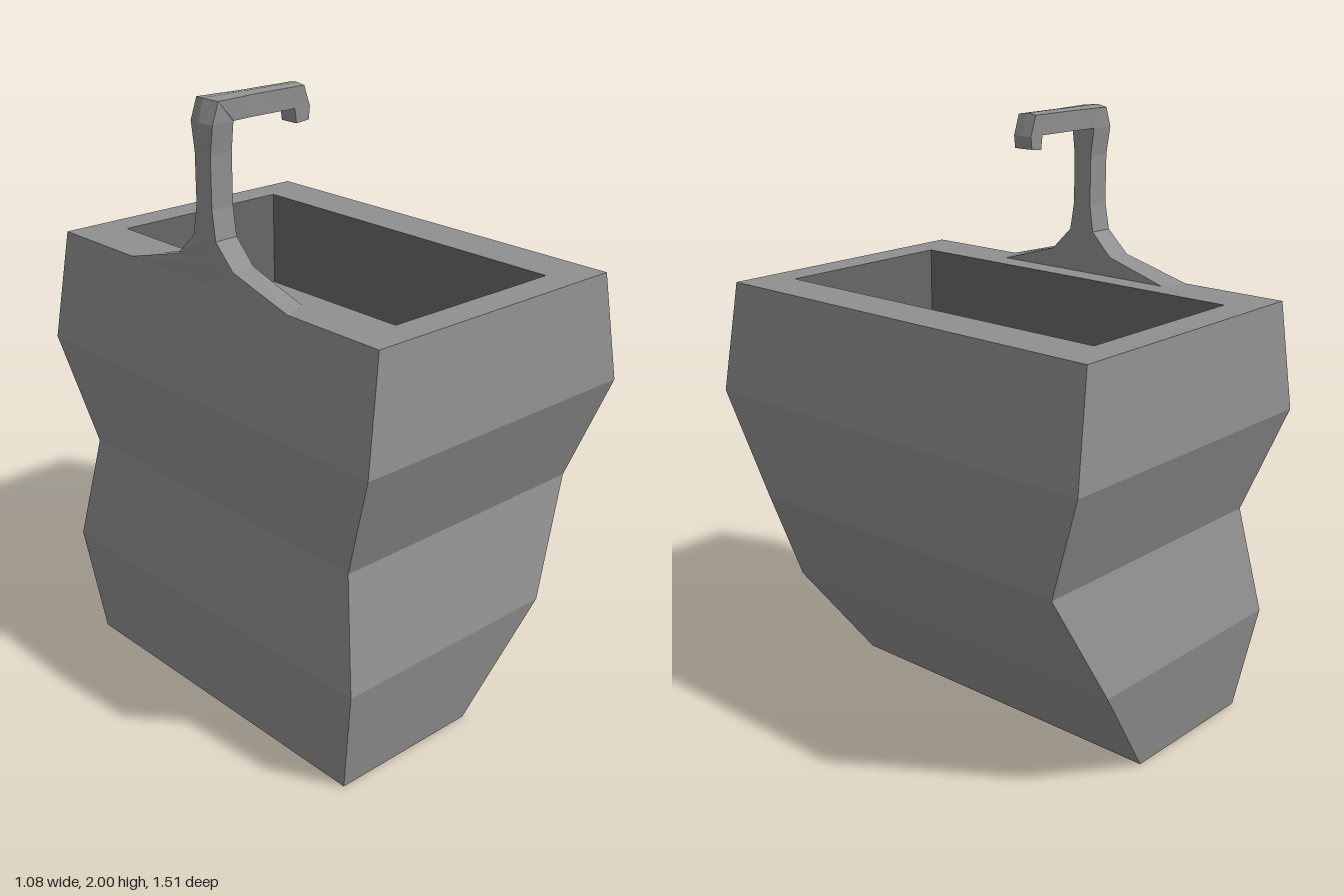
import * as THREE from 'three';

// Skins a list of rings (each counter-clockwise seen along the path), with optional end caps.
function loft(rings, capStart, capEnd) {
  const pos = [];
  const tri = (a, b, c) => pos.push(...a, ...b, ...c);
  const n = rings[0].length;
  for (let i = 0; i < rings.length - 1; i++) {
    const a = rings[i], b = rings[i + 1];
    for (let j = 0; j < n; j++) {
      const k = (j + 1) % n;
      tri(a[j], a[k], b[k]);
      tri(a[j], b[k], b[j]);
    }
  }
  const first = rings[0], last = rings[rings.length - 1];
  for (let j = 1; j < n - 1; j++) {
    if (capStart) tri(first[0], first[j + 1], first[j]);
    if (capEnd) tri(last[0], last[j], last[j + 1]);
  }
  const g = new THREE.BufferGeometry();
  g.setAttribute('position', new THREE.Float32BufferAttribute(pos, 3));
  g.computeVertexNormals();
  return g;
}

// Horizontal rectangle
const rect = (y, x0, x1, z) => [[x0, y, z], [x1, y, z], [x1, y, -z], [x0, y, -z]];

// Five-sided tap section: a ridge, two outer corners, two inner corners
const section = ([rx, ry, ox, oy, oz, ix, iy, iz]) =>
  [[rx, ry, 0], [ox, oy, oz], [ix, iy, iz], [ix, iy, -iz], [ox, oy, -oz]];

export function createModel() {
  const group = new THREE.Group();
  const stone = new THREE.MeshStandardMaterial({ color: 0x909090, flatShading: true });
  stone.name = 'grey stone';
  const dark = new THREE.MeshStandardMaterial({ color: 0x676767, flatShading: true });
  dark.name = 'dark grey';
  const add = (name, geometry, material) => {
    const m = new THREE.Mesh(geometry, material);
    m.name = name;
    group.add(m);
  };

  // Faceted pedestal body, finishing at the inner edge of the rim
  add('body', loft([
    rect(0, -0.5, 0.03, 0.625),
    rect(0.365, -0.535, 0.295, 0.69),
    rect(0.73, -0.485, 0.48, 0.622),
    rect(1.09, -0.54, 0.535, 0.755),
    rect(1.45, -0.485, 0.48, 0.735),
    rect(1.45, -0.32, 0.32, 0.63),
  ], true, false), stone);

  // Recessed basin: inward walls and floor
  add('basin', loft([
    rect(1.45, -0.32, 0.32, 0.63),
    rect(1.07, -0.32, 0.32, 0.63),
  ], false, true), dark);

  // Tap: flared foot, post, spout and downturned tip
  add('tap', loft([
    [-0.487, 1.45, -0.485, 1.45, 0.37, -0.4, 1.45, 0.335],
    [-0.489, 1.515, -0.483, 1.515, 0.13, -0.4, 1.515, 0.122],
    [-0.49, 1.59, -0.482, 1.59, 0.052, -0.4, 1.59, 0.048],
    [-0.49, 1.68, -0.48, 1.68, 0.036, -0.4, 1.68, 0.034],
    [-0.49, 1.84, -0.48, 1.84, 0.036, -0.4, 1.84, 0.034],
    [-0.49, 1.93, -0.48, 1.93, 0.05, -0.4, 1.93, 0.045],
    [-0.475, 2.0, -0.457, 1.995, 0.05, -0.4, 1.93, 0.045],
    [-0.4, 2.0, -0.4, 1.995, 0.046, -0.395, 1.93, 0.042],
    [-0.32, 2.0, -0.32, 1.995, 0.037, -0.32, 1.93, 0.035],
    [-0.12, 2.0, -0.12, 1.995, 0.035, -0.155, 1.93, 0.033],
    [-0.095, 1.93, -0.098, 1.93, 0.035, -0.155, 1.925, 0.033],
    [-0.1, 1.89, -0.103, 1.89, 0.035, -0.15, 1.885, 0.033],
  ].map(section), true, true), stone);

  return group;
}
